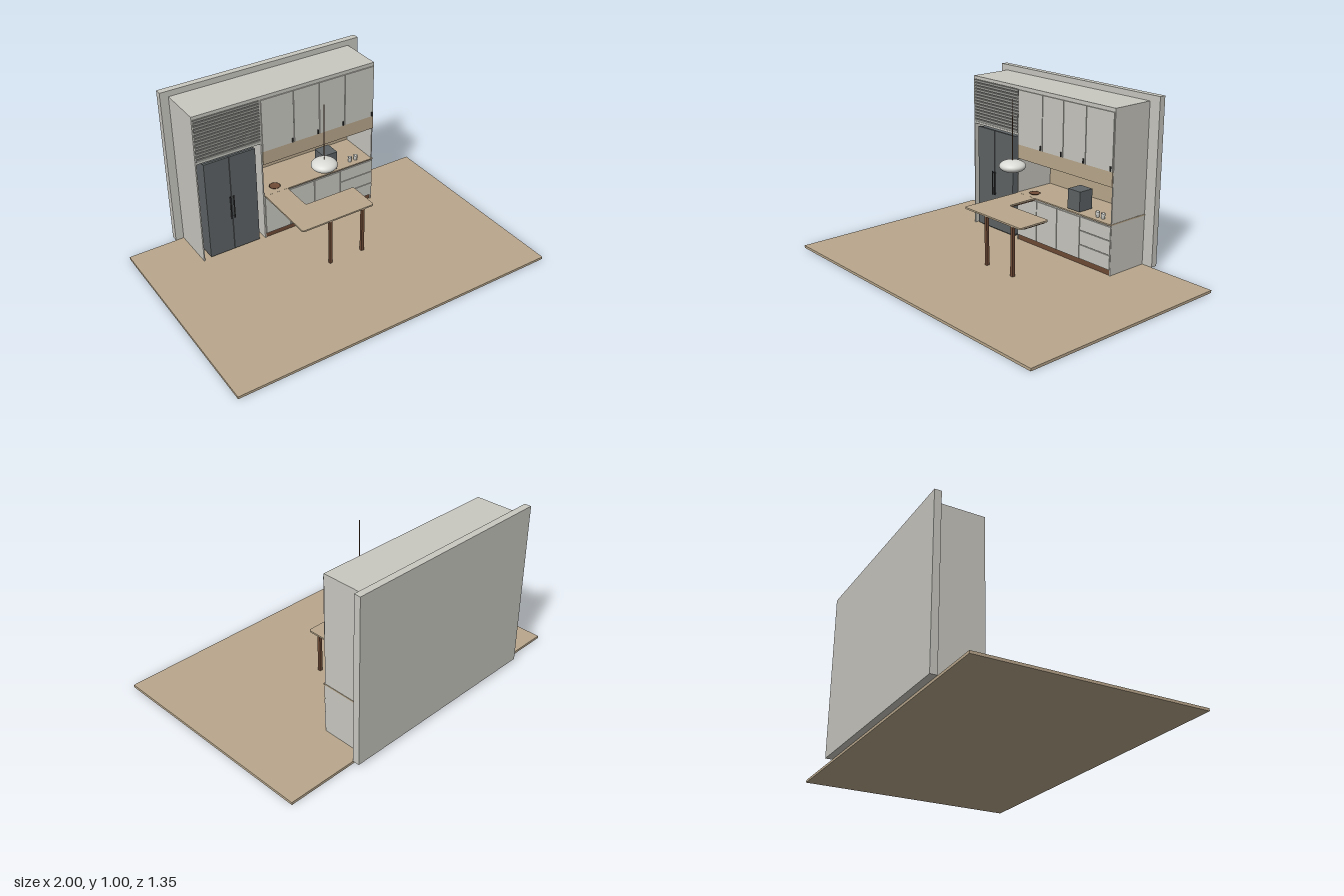
import * as THREE from 'three';

const mat = (name, color, extra = {}) => Object.assign(new THREE.MeshStandardMaterial({ color, ...extra }), { name });

export function createModel() {
  const root = new THREE.Group();
  root.name = 'kitchen';
  const wood = mat('oak', 0xb9a78c);
  const paint = mat('warm grey paint', 0xc8c7c0);
  const slate = mat('slate', 0x5d6264);
  const slatGrey = mat('slat grey', 0x969692);
  const brown = mat('walnut', 0x6e4a35);
  const dark = mat('dark metal', 0x3a3a3a);
  const white = mat('white glaze', 0xdadad6);

  const add = (name, geo, m, parent = root) => {
    const mesh = new THREE.Mesh(geo, m);
    mesh.name = name;
    parent.add(mesh);
    return mesh;
  };
  // Box given by its limits on each axis
  const box = (name, m, x0, x1, y0, y1, z0, z1, parent) => {
    const b = add(name, new THREE.BoxGeometry(x1 - x0, y1 - y0, z1 - z0), m, parent);
    b.position.set((x0 + x1) / 2, (y0 + y1) / 2, (z0 + z1) / 2);
    return b;
  };
  const group = (name) => {
    const g = new THREE.Group();
    g.name = name;
    root.add(g);
    return g;
  };

  const F = 0.015, BACK = -0.635, FRONT = -0.365, DOOR = -0.358, GAP = 0.002;

  // Room shell
  box('floor', wood, -1, 1, 0, F, BACK, 0.675);
  box('backWall', paint, -0.705, 0.585, F, 1, -0.675, BACK);

  // Cabinet casing
  const casing = group('cabinetCasing');
  box('topPanel', paint, -0.655, 0.515, 0.945, 0.965, BACK, FRONT, casing);
  box('leftPanel', paint, -0.655, -0.648, F, 0.945, BACK, FRONT, casing);
  box('middlePanel', paint, -0.25, -0.243, F, 0.945, BACK, FRONT, casing);
  box('rightPanel', paint, 0.508, 0.515, F, 0.945, BACK, FRONT, casing);
  box('ventShelf', paint, -0.648, -0.25, 0.668, 0.68, BACK, FRONT, casing);

  // Refrigerator with two doors, standing in the tall niche
  const fridge = group('refrigerator');
  box('fridgeBody', slate, -0.61, -0.29, 0.028, 0.65, -0.6, -0.375, fridge);
  box('fridgeFoot', dark, -0.6, -0.3, F, 0.028, -0.59, -0.38, fridge);
  for (const [x0, x1, h] of [[-0.61, -0.457, -0.466], [-0.454, -0.29, -0.445]]) {
    box('fridgeDoor', slate, x0, x1, 0.028, 0.655, -0.375, -0.361, fridge);
    box('fridgeHandle', dark, h - 0.003, h + 0.003, 0.25, 0.4, -0.354, -0.349, fridge);
    for (const y of [0.26, 0.39])
      box('handleStud', dark, h - 0.002, h + 0.002, y - 0.003, y + 0.003, -0.361, -0.354, fridge);
  }

  // Louvred vent above the refrigerator
  const vent = group('louvreVent');
  box('ventBack', slate, -0.648, -0.25, 0.68, 0.945, -0.385, -0.378, vent);
  const slats = 14, pitch = 0.265 / slats;
  for (let i = 0; i < slats; i++) {
    const y = 0.68 + i * pitch;
    box('slat', slatGrey, -0.648, -0.25, y + 0.002, y + pitch - 0.003, -0.378, -0.362, vent);
  }

  // Upper cabinets: painted doors with an oak band along the bottom
  const upper = group('upperCabinets');
  box('upperBody', paint, -0.243, 0.508, 0.53, 0.945, BACK, FRONT, upper);
  const splits = [-0.243, -0.035, 0.135, 0.31, 0.513];
  for (let i = 0; i < 4; i++) {
    const x0 = splits[i] + GAP, x1 = splits[i + 1] - GAP;
    box('upperDoor', paint, x0, x1, 0.615, 0.943, FRONT, DOOR, upper);
    box('upperHandle', dark, x1 - 0.014, x1 - 0.008, 0.618, 0.645, DOOR, -0.351, upper);
  }
  box('oakBand', wood, -0.243, 0.513, 0.53, 0.615, FRONT, DOOR, upper);
  box('backsplash', wood, -0.243, 0.508, 0.318, 0.53, BACK, -0.628);

  // Base cabinets, drawers and plinth
  const base = group('baseCabinets');
  box('baseBody', paint, -0.243, 0.508, 0.048, 0.31, BACK, FRONT, base);
  box('plinth', brown, -0.243, 0.508, F, 0.048, BACK, -0.37, base);
  const baseSplits = [-0.243, -0.075, 0.095, 0.28];
  for (let i = 0; i < 3; i++)
    box('baseDoor', paint, baseSplits[i] + GAP, baseSplits[i + 1] - GAP, 0.05, 0.3, FRONT, DOOR, base);
  for (const [y0, y1] of [[0.052, 0.135], [0.139, 0.22], [0.224, 0.302]])
    box('drawerFront', paint, 0.28 + GAP, 0.513, y0, y1, FRONT, DOOR, base);

  // Counter along the wall
  box('counter', wood, -0.243, 0.517, 0.31, 0.318, BACK, -0.356);

  // L-shaped rounded slab lying flat; shape y is -z
  const lSlab = (name, m, x0, x1, xi, zf, zi, r, y, h) => {
    const s = new THREE.Shape();
    s.moveTo(x0, 0.362);
    s.lineTo(x0, -zf + r);
    s.quadraticCurveTo(x0, -zf, x0 + r, -zf);
    s.lineTo(x1 - r, -zf);
    s.quadraticCurveTo(x1, -zf, x1, -zf + r);
    s.lineTo(x1, -zi - r);
    s.quadraticCurveTo(x1, -zi, x1 - r, -zi);
    s.lineTo(xi + r, -zi);
    s.quadraticCurveTo(xi, -zi, xi, -zi + r);
    s.lineTo(xi, 0.362 - r);
    s.quadraticCurveTo(xi, 0.362, xi + r, 0.362);
    s.closePath();
    const g = new THREE.ExtrudeGeometry(s, { depth: h, bevelEnabled: false, curveSegments: 6 });
    g.rotateX(-Math.PI / 2);
    add(name, g, m, peninsula).position.y = y;
  };

  // Peninsula table on two legs
  const peninsula = group('peninsula');
  lSlab('tableTop', wood, -0.24, 0.237, -0.09, 0.053, -0.157, 0.015, 0.308, 0.0095);
  lSlab('tableFrame', brown, -0.228, 0.222, -0.102, 0.012, -0.145, 0.01, 0.298, 0.01);
  for (const x of [-0.053, 0.165])
    box('tableLeg', brown, x - 0.009, x + 0.009, F, 0.308, 0.034, 0.052, peninsula);

  // Items on the counter
  box('oven', slate, 0.17, 0.265, 0.322, 0.44, -0.47, -0.37);
  box('ovenFoot', dark, 0.18, 0.255, 0.318, 0.322, -0.46, -0.38);
  const cupProfile = [[0, 0], [0.01, 0], [0.013, 0.032], [0.011, 0.032], [0.009, 0.003], [0, 0.003]]
    .map(([x, y]) => new THREE.Vector2(x, y));
  for (const x of [0.377, 0.418])
    add('cup', new THREE.LatheGeometry(cupProfile, 20), white).position.set(x, 0.318, -0.4);
  const plateProfile = [[0, 0], [0.022, 0], [0.034, 0.008], [0.031, 0.008], [0.02, 0.003], [0, 0.003]]
    .map(([x, y]) => new THREE.Vector2(x, y));
  add('plate', new THREE.LatheGeometry(plateProfile, 28), brown).position.set(-0.147, 0.318, -0.41);

  // Pendant lamp
  const lamp = group('pendantLamp');
  lamp.position.set(0, 0, -0.1);
  const shade = add('lampShade', new THREE.SphereGeometry(1, 40, 24), white, lamp);
  shade.scale.set(0.075, 0.035, 0.075);
  shade.position.y = 0.587;
  add('lampCord', new THREE.CylinderGeometry(0.0025, 0.0025, 0.347, 8), brown, lamp).position.y = 0.7915;

  return root;
}
